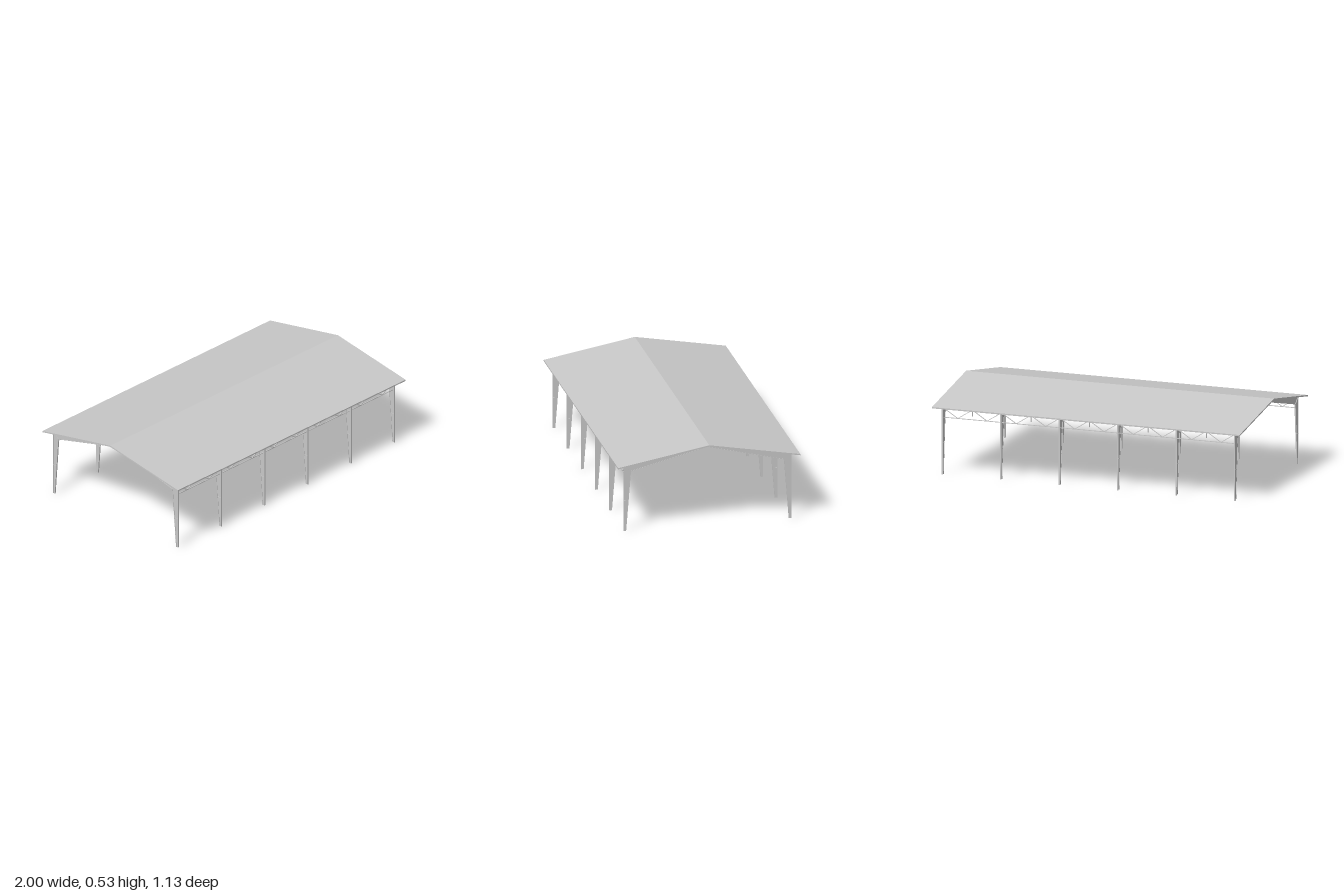
import * as THREE from 'three';

export function createModel() {
  const model = new THREE.Group();
  model.name = 'openShed';
  const steel = new THREE.MeshStandardMaterial({ color: 0xc8c8c8 });
  steel.name = 'light grey steel';

  const SLOPE = 0.18;
  const roofY = (z) => 0.525 - SLOPE * Math.abs(z);
  const frameX = [-0.95, -0.57, -0.19, 0.19, 0.57, 0.95];

  // Straight bar between two points: w across, t thick
  function bar(parent, name, a, b, w, t) {
    const from = new THREE.Vector3(...a), to = new THREE.Vector3(...b);
    const mesh = new THREE.Mesh(new THREE.BoxGeometry(w, t, from.distanceTo(to)), steel);
    mesh.position.copy(from).lerp(to, 0.5);
    mesh.lookAt(to);
    mesh.name = name;
    parent.add(mesh);
  }

  // Extrude a (z, y) outline along x, centred on x = 0
  function crossSection(name, points, length) {
    const shape = new THREE.Shape(points.map(([z, y]) => new THREE.Vector2(z, y)));
    const geo = new THREE.ExtrudeGeometry(shape, { depth: length, bevelEnabled: false });
    geo.translate(0, 0, -length / 2).rotateY(-Math.PI / 2);
    const mesh = new THREE.Mesh(geo, steel);
    mesh.name = name;
    return mesh;
  }

  // Gabled roof sheet
  const T = 0.008, E = 0.565;
  model.add(crossSection('roof', [
    [-E, roofY(E) - T], [0, roofY(0) - T], [E, roofY(E) - T],
    [E, roofY(E)], [0, roofY(0)], [-E, roofY(E)],
  ], 2));

  // Tapered portal frames: web, flanges, stiffeners and splice plates
  const outer = [[0.52, 0], [0.52, 0.421], [0, 0.515]];
  const inner = [[0.506, 0], [0.476, 0.381], [0, 0.5]];
  const mirror = (pts) => pts.slice(0, 2).reverse().map(([z, y]) => [-z, y]);
  const outline = [...outer, ...mirror(outer), ...mirror(inner).reverse(), ...[...inner].reverse()];
  for (const x of frameX) {
    const frame = new THREE.Group();
    frame.name = 'portalFrame';
    frame.position.x = x;
    frame.add(crossSection('frameWeb', outline, 0.003));
    for (const s of [-1, 1]) {
      for (const line of [outer, inner]) {
        for (let i = 0; i < 2; i++) {
          const [z0, y0] = line[i], [z1, y1] = line[i + 1];
          bar(frame, 'flange', [0, y0, s * z0], [0, y1, s * z1], 0.008, 0.002);
        }
      }
      bar(frame, 'kneeStiffener', [0, 0.381, s * 0.476], [0, 0.42, s * 0.518], 0.008, 0.002);
      bar(frame, 'columnSplice', [0, 0.192, s * 0.49], [0, 0.192, s * 0.521], 0.008, 0.004);
      bar(frame, 'rafterSplice', [0, 0.442, s * 0.247], [0, 0.471, s * 0.247], 0.008, 0.003);
    }
    bar(frame, 'ridgeSplice', [0, 0.498, 0], [0, 0.517, 0], 0.008, 0.003);
    model.add(frame);
  }

  // Purlins under the roof sheet
  for (const s of [-1, 1]) {
    for (let i = 0; i < 7; i++) {
      const z = s * (0.025 + i * 0.079);
      const y = roofY(z) - T - 0.005;
      bar(model, 'purlin', [-0.95, y, z], [0.95, y, z], 0.005, 0.01);
    }
  }

  // Eave trusses between the columns
  const TOP = 0.412, LOW = 0.352, BAR = 0.004;
  for (const z of [-0.505, 0.505]) {
    const truss = new THREE.Group();
    truss.name = 'eaveTruss';
    bar(truss, 'topChord', [-0.95, TOP, z], [0.95, TOP, z], 0.006, 0.006);
    bar(truss, 'bottomChord', [-0.95, LOW, z], [0.95, LOW, z], BAR, BAR);
    for (let i = 0; i < 20; i++) {
      const x = -0.95 + i * 0.095, down = i % 2 === 0;
      bar(truss, 'diagonal', [x, down ? TOP : LOW, z], [x + 0.095, down ? LOW : TOP, z], BAR, BAR);
    }
    for (let i = 0; i < 5; i++) {
      const x = -0.76 + i * 0.38;
      bar(truss, 'hanger', [x, 0.372, z], [x, TOP, z], BAR, BAR);
    }
    model.add(truss);
  }
  return model;
}
